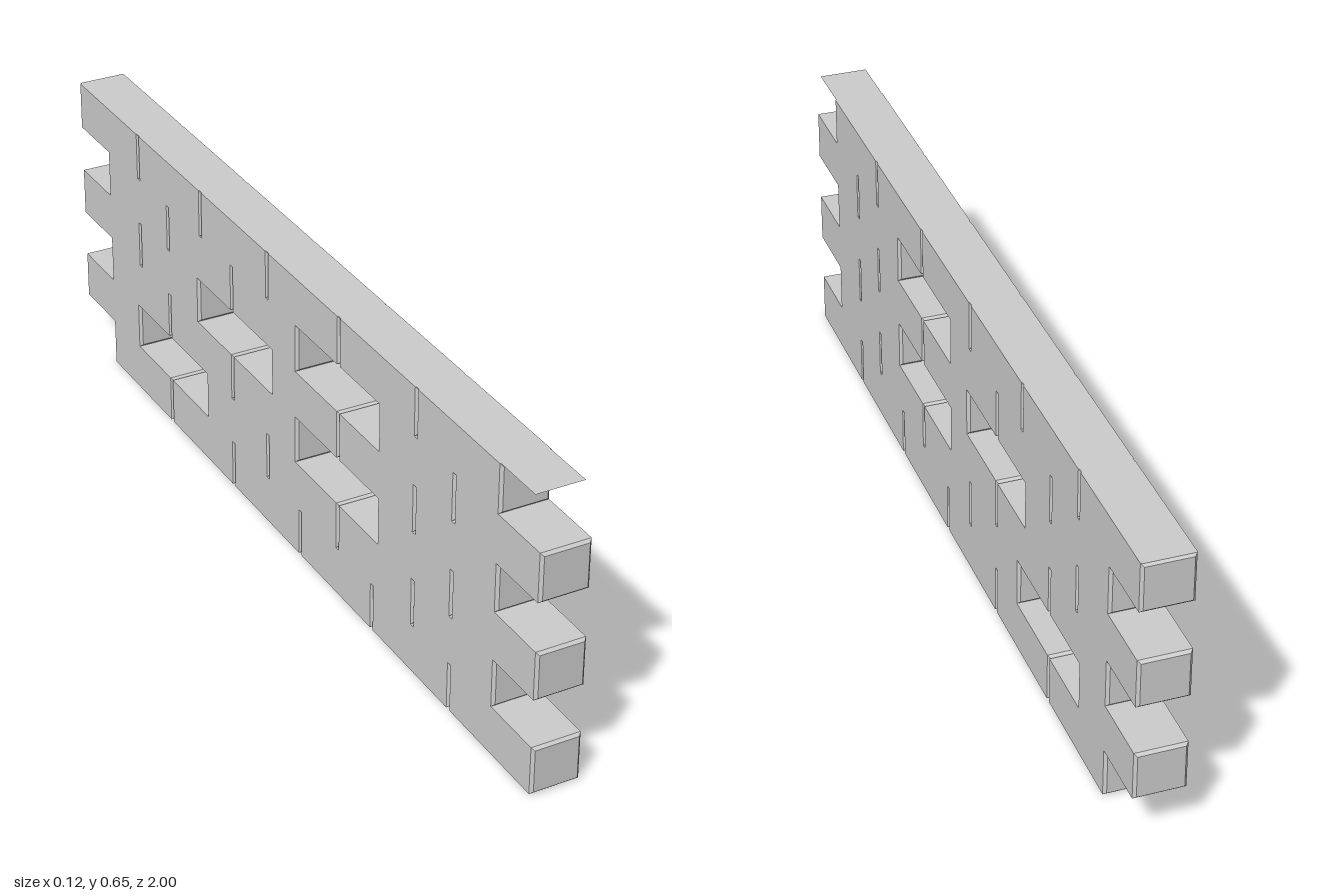
import * as THREE from 'three';

const ROW_H = 0.1086, PITCH = 0.309, DEPTH = 0.109, CHAMFER = 0.006, TRIM = 0.016;

// Block with every edge chamfered, running from z0 to z1
function brickGeometry(z0, z1) {
  const c = CHAMFER, w = DEPTH / 2 - c, h = ROW_H / 2 - c;
  const shape = new THREE.Shape([
    new THREE.Vector2(-w, -h), new THREE.Vector2(w, -h),
    new THREE.Vector2(w, h), new THREE.Vector2(-w, h),
  ]);
  const geo = new THREE.ExtrudeGeometry(shape, {
    depth: z1 - z0 - 2 * c, bevelEnabled: true, bevelSegments: 1,
    bevelSize: c, bevelThickness: c,
  });
  return geo.translate(0, 0, z0 + c);
}

export function createModel() {
  const model = new THREE.Group();
  model.name = 'brickWall';
  const material = new THREE.MeshStandardMaterial({ color: 0xcccccc, flatShading: true });
  const slabMaterial = new THREE.MeshStandardMaterial({ color: 0xcccccc, side: THREE.DoubleSide });

  // The whole wall is turned very slightly about its vertical axis
  const wall = new THREE.Group();
  wall.name = 'courses';
  wall.rotation.y = -0.0075;
  model.add(wall);

  // Missing brick in each course, counted from the front; -1 means none
  const missing = [-1, 4, 2, 3, 2, -1];

  missing.forEach((gap, row) => {
    const course = new THREE.Group();
    course.name = `course${row + 1}`;
    course.position.y = (row + 0.5) * ROW_H;
    const front = row % 2 === 0 ? 1 : 6 * PITCH - 1; // alternate courses are staggered
    for (let i = 0; i < 6; i++) {
      if (i === gap) continue;
      let z1 = front - i * PITCH, z0 = z1 - PITCH;
      // bricks beside an opening stop a little short
      if (gap >= 0 && i === gap - 1) z0 += TRIM;
      if (gap >= 0 && i === gap + 1) z1 -= TRIM;
      const brick = new THREE.Mesh(brickGeometry(z0, z1), material);
      brick.name = 'brick';
      course.add(brick);
    }
    wall.add(course);
  });

  // Thin sheet over the top course, overhanging at the front
  const slabLength = 1.965;
  const slab = new THREE.Mesh(
    new THREE.PlaneGeometry(DEPTH - 0.003, slabLength).rotateX(-Math.PI / 2), slabMaterial);
  slab.name = 'topSheet';
  slab.position.set(0, 6 * ROW_H + 0.0005, slabLength / 2 - 0.997);
  wall.add(slab);

  return model;
}
